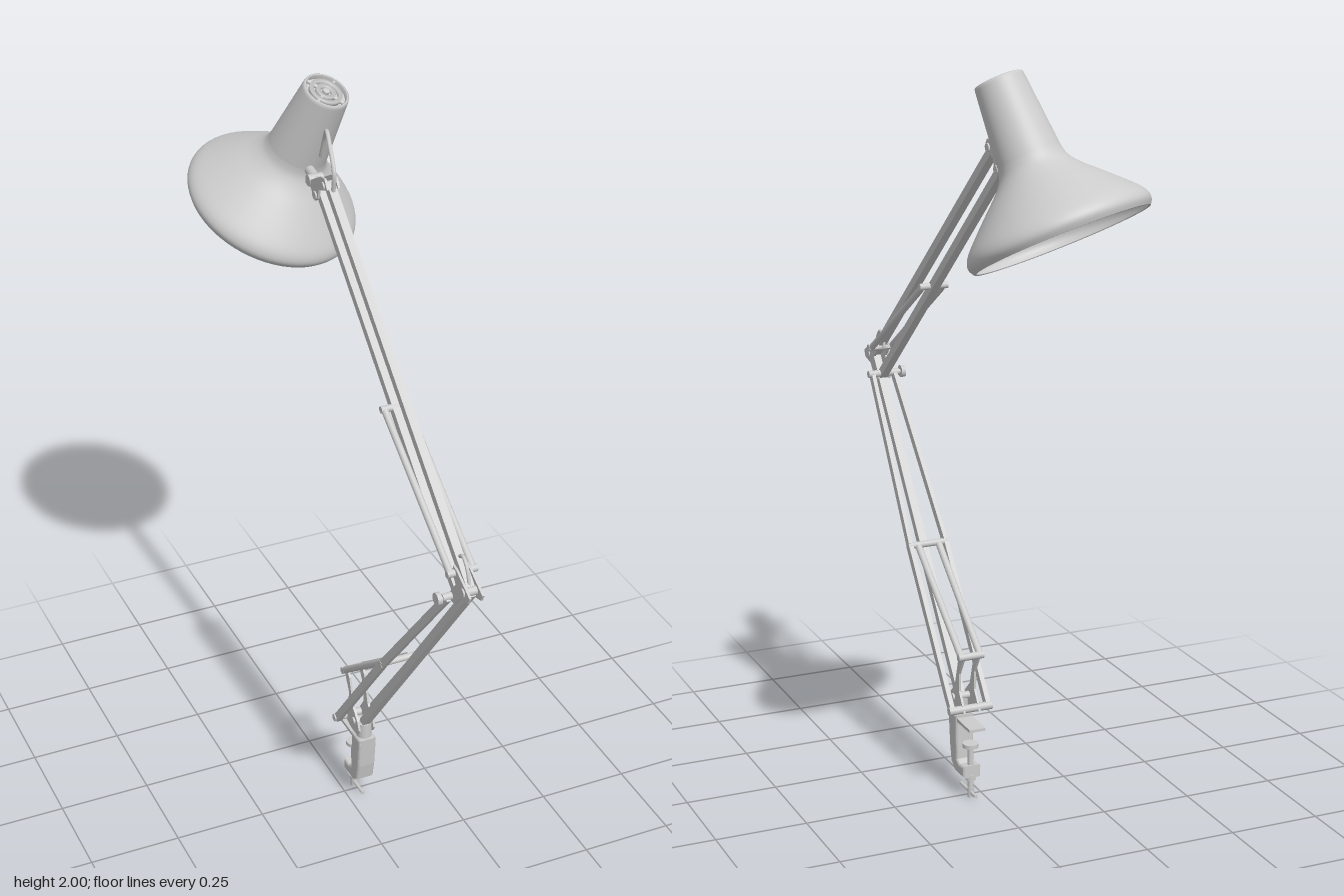
import * as THREE from 'three';

const grey = new THREE.MeshStandardMaterial({ color: 0xcccccc, side: THREE.DoubleSide });
grey.name = 'light grey';

function add(parent, name, geometry) {
  const mesh = new THREE.Mesh(geometry, grey);
  mesh.name = name;
  parent.add(mesh);
  return mesh;
}

// Turn a geometry built along y so that it runs from a to b
function span(parent, name, geometry, a, b) {
  const mesh = add(parent, name, geometry);
  const d = b.clone().sub(a).normalize();
  const ref = Math.abs(d.x) > 0.9 ? new THREE.Vector3(0, 0, 1) : new THREE.Vector3(1, 0, 0);
  const s = ref.addScaledVector(d, -ref.dot(d)).normalize();
  mesh.quaternion.setFromRotationMatrix(new THREE.Matrix4().makeBasis(s, d, s.clone().cross(d)));
  mesh.position.copy(a).add(b).multiplyScalar(0.5);
  return mesh;
}
const V = (x, y, z) => new THREE.Vector3(x, y, z);
const bar = (p, name, a, b, w, h = w) => span(p, name, new THREE.BoxGeometry(w, a.distanceTo(b), h), a, b);
const rod = (p, name, a, b, r) => span(p, name, new THREE.CylinderGeometry(r, r, a.distanceTo(b), 14), a, b);
const axle = (p, name, y, z, half, r) => rod(p, name, V(-half, y, z), V(half, y, z), r);

// Side profile given as [z, y] pairs, thickened along x
function plate(parent, name, points, width, x = 0, bevel = 0) {
  const shape = new THREE.Shape(points.map(([z, y]) => new THREE.Vector2(z, y)));
  const depth = width - 2 * bevel;
  const geometry = new THREE.ExtrudeGeometry(shape, {
    depth, bevelEnabled: bevel > 0, bevelSize: bevel, bevelThickness: bevel, bevelOffset: -bevel, bevelSegments: 3,
  });
  geometry.translate(0, 0, -depth / 2).rotateY(-Math.PI / 2).translate(x, 0, 0);
  return add(parent, name, geometry);
}

function cable(parent, name, points, r) {
  const curve = new THREE.CatmullRomCurve3(points.map((p) => V(...p)));
  return add(parent, name, new THREE.TubeGeometry(curve, 32, r, 8));
}

function buildClamp(arm) {
  const clamp = new THREE.Group();
  clamp.name = 'clamp';
  arm.add(clamp);
  plate(clamp, 'clampBody', [[0.077, 0.225], [0.02, 0.225], [0.016, 0.1], [0, 0.092], [-0.03, 0.095],
    [-0.03, 0.06], [0.03, 0.06], [0.058, 0.08], [0.068, 0.13]], 0.052, 0, 0.008);
  plate(clamp, 'clampJaw', [[0.075, 0.217], [0.075, 0.206], [-0.066, 0.206], [-0.066, 0.214]], 0.046);
  rod(clamp, 'pivotPost', V(0, 0.2, 0.05), V(0, 0.27, 0.05), 0.021);
  rod(clamp, 'clampScrew', V(0, 0.012, -0.018), V(0, 0.15, -0.018), 0.008);
  rod(clamp, 'screwPad', V(0, 0.145, -0.018), V(0, 0.156, -0.018), 0.022);
  rod(clamp, 'screwCollar', V(0, 0.05, -0.018), V(0, 0.066, -0.018), 0.014);
  rod(clamp, 'screwHub', V(0, 0, -0.018), V(0, 0.03, -0.018), 0.009);
  rod(clamp, 'screwHandle', V(0, 0.014, -0.055), V(0, 0.014, 0.045), 0.005);
}

function buildLowerArm(arm) {
  // Base bracket holding the two pivots and the spring posts
  for (const s of [-1, 1]) {
    plate(arm, 'baseBracket', [[0.07, 0.255], [0.055, 0.235], [0.02, 0.235], [-0.03, 0.248], [-0.02, 0.268],
      [0.002, 0.3], [0.002, 0.35], [-0.03, 0.405], [-0.015, 0.418], [0.005, 0.395], [0.03, 0.31], [0.06, 0.28]],
    0.006, s * 0.022);
    // Outer strap, narrowing towards the elbow
    const base = V(s * 0.052, 0.255, -0.012), mid = V(s * 0.052, 0.632, 0.279), top = V(s * 0.032, 1.035, 0.598);
    bar(arm, 'lowerOuterStrap', base, mid, 0.013, 0.022);
    bar(arm, 'lowerOuterStrap', mid, top, 0.011, 0.022);
    rod(arm, 'lowerSpring', V(s * 0.027, 0.405, -0.02), V(s * 0.03, 0.628, 0.268), 0.0095);
  }
  bar(arm, 'lowerCentreRod', V(0, 0.26, 0.045), V(0, 1.075, 0.655), 0.022);
  axle(arm, 'baseAxle', 0.255, -0.016, 0.062, 0.011);
  axle(arm, 'basePivot', 0.272, 0.038, 0.03, 0.01);
  axle(arm, 'lowerSpringPost', 0.405, -0.02, 0.036, 0.01);
  axle(arm, 'lowerSpringBar', 0.63, 0.274, 0.058, 0.009);
}

function buildElbow(arm) {
  for (const s of [-1, 1]) {
    plate(arm, 'elbowBracket', [[0.69, 1.083], [0.682, 1.065], [0.64, 1.055], [0.612, 1.02], [0.59, 1.02],
      [0.585, 1.04], [0.615, 1.08], [0.595, 1.105], [0.6, 1.125], [0.62, 1.12]], 0.006, s * 0.017);
  }
  axle(arm, 'elbowAxle', 1.035, 0.594, 0.045, 0.01);
  axle(arm, 'elbowPivot', 1.08, 0.655, 0.024, 0.012);
  axle(arm, 'upperSpringPost', 1.108, 0.606, 0.04, 0.01);
  rod(arm, 'tensionKnobStem', V(-0.04, 1.035, 0.594), V(-0.056, 1.035, 0.594), 0.006);
  rod(arm, 'tensionKnob', V(-0.05, 1.035, 0.594), V(-0.062, 1.035, 0.594), 0.017);
  cable(arm, 'elbowCable', [[0, 1.09, 0.65], [0, 1.13, 0.635], [0, 1.152, 0.612], [0, 1.14, 0.592], [0, 1.11, 0.585]], 0.005);
}

function buildUpperArm(arm) {
  bar(arm, 'upperTopRod', V(0, 1.085, 0.648), V(0, 1.79, -0.175), 0.022);
  bar(arm, 'upperBottomRod', V(0, 1.03, 0.6), V(0, 1.745, -0.222), 0.022);
  for (const s of [-1, 1]) {
    rod(arm, 'upperSpring', V(s * 0.03, 1.108, 0.606), V(s * 0.03, 1.358, 0.228), 0.009);
    // Head bracket
    plate(arm, 'headBracket', [[-0.148, 1.786], [-0.165, 1.81], [-0.19, 1.806], [-0.25, 1.772], [-0.285, 1.768],
      [-0.285, 1.75], [-0.25, 1.75], [-0.225, 1.725], [-0.208, 1.737], [-0.2, 1.765]], 0.006, s * 0.015);
  }
  axle(arm, 'upperSpringBar', 1.36, 0.225, 0.04, 0.009);
  axle(arm, 'headPivotTop', 1.788, -0.172, 0.022, 0.011);
  axle(arm, 'headPivotBottom', 1.742, -0.222, 0.022, 0.011);
  rod(arm, 'headStem', V(0, 1.763, -0.24), V(0.01, 1.765, -0.33), 0.013);
  axle(arm, 'headSwivel', 1.764, -0.265, 0.02, 0.015);
  cable(arm, 'headCable', [[0, 1.78, -0.15], [0, 1.83, -0.145], [0.008, 1.875, -0.185], [0.02, 1.903, -0.235],
    [0.028, 1.88, -0.262], [0.03, 1.81, -0.295]], 0.006);
}

function buildShade(model) {
  const shade = new THREE.Group();
  shade.name = 'shade';
  shade.position.set(-0.002, 1.61, -0.477);
  shade.quaternion.setFromUnitVectors(V(0, 1, 0), V(0.232, 0.89, 0.39).normalize());
  model.add(shade);
  const lathe = (name, pts) => add(shade, name,
    new THREE.LatheGeometry(pts.map(([r, y]) => new THREE.Vector2(r, y)), 64));

  // Flared shell: outer wall up, inner wall back down
  const outer = new THREE.SplineCurve([[0.224, 0], [0.232, 0.014], [0.231, 0.03], [0.219, 0.05], [0.188, 0.082],
    [0.145, 0.123], [0.108, 0.158], [0.087, 0.186], [0.08, 0.212]].map((p) => new THREE.Vector2(...p)))
    .getPoints(32).map((p) => [p.x, p.y]);
  const neck = [[0.0625, 0.4], [0.061, 0.408], [0.057, 0.41], [0.054, 0.408], [0.054, 0.395]];
  lathe('shadeOuter', [...outer, ...neck]);
  const inner = outer.map(([r, y]) => [r - 0.006, y]).reverse();
  lathe('shadeInner', [[0.05, 0.39], ...inner, [0.224, 0]]);

  // Vented cap: recessed disc, concentric rings and spokes
  rod(shade, 'capFloor', V(0, 0.385, 0), V(0, 0.397, 0), 0.056);
  for (const r of [0.021, 0.039]) {
    lathe('capRing', [[r - 0.005, 0.397], [r + 0.005, 0.397], [r + 0.005, 0.408], [r - 0.005, 0.408], [r - 0.005, 0.397]]);
  }
  rod(shade, 'capCentre', V(0, 0.395, 0), V(0, 0.408, 0), 0.009);
  for (let i = 0; i < 4; i++) {
    const a = (i + 0.5) * Math.PI / 2, c = Math.cos(a), s = Math.sin(a);
    rod(shade, 'capSpoke', V(c * 0.02, 0.402, s * 0.02), V(c * 0.055, 0.402, s * 0.055), 0.005);
  }

  // Bulb and its holder
  rod(shade, 'bulbHolder', V(0, 0.22, 0), V(0, 0.385, 0), 0.032);
  const bulb = [[0.001, 0.035]];
  for (let i = 1; i <= 14; i++) {
    const a = -Math.PI / 2 + i * 0.18;
    bulb.push([0.066 * Math.cos(a), 0.101 + 0.066 * Math.sin(a)]);
  }
  lathe('bulb', [...bulb, [0.036, 0.175], [0.03, 0.195], [0.028, 0.225]]);
}

export function createModel() {
  const model = new THREE.Group();
  model.name = 'deskLamp';
  const arm = new THREE.Group();
  arm.name = 'arm';
  arm.position.x = 0.037;
  model.add(arm);
  buildClamp(arm);
  buildLowerArm(arm);
  buildElbow(arm);
  buildUpperArm(arm);
  buildShade(model);
  return model;
}
